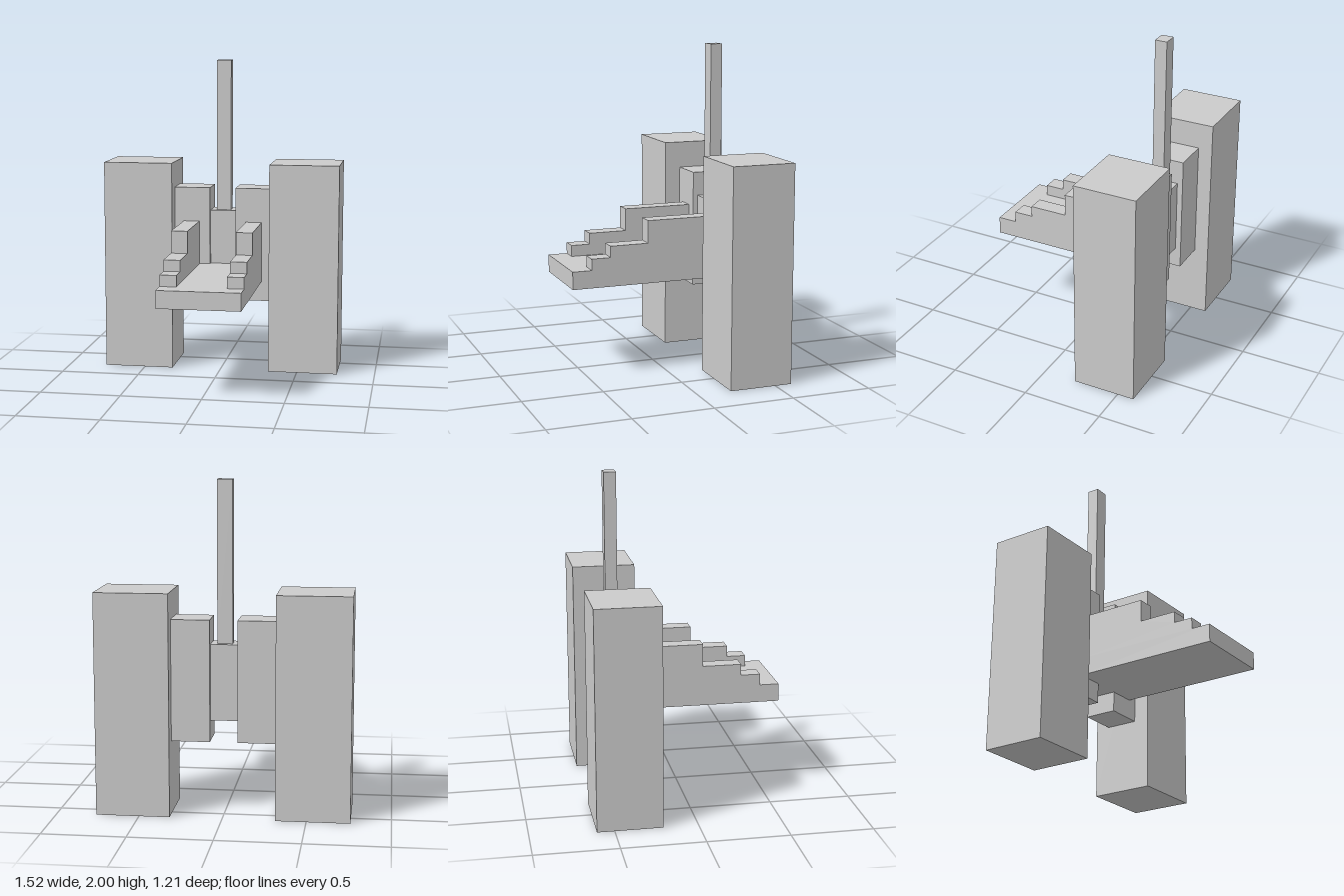
import * as THREE from 'three';

const material = new THREE.MeshStandardMaterial({ color: 0xcccccc, flatShading: true });

// Box given by its extents along each axis
function block(name, [x0, x1], [y0, y1], [z0, z1]) {
  const mesh = new THREE.Mesh(new THREE.BoxGeometry(x1 - x0, y1 - y0, z1 - z0), material);
  mesh.position.set((x0 + x1) / 2, (y0 + y1) / 2, (z0 + z1) / 2);
  mesh.name = name;
  return mesh;
}

// Stepped side rail: profile in z and y, extruded across x
function steppedRail(name, x0, x1) {
  const profile = [
    [-0.31, 0.68], [0.485, 0.68], [0.485, 0.75], [0.365, 0.75],
    [0.365, 0.82], [0.125, 0.82], [0.125, 0.96], [-0.31, 0.96],
  ];
  const shape = new THREE.Shape(profile.map(([z, y]) => new THREE.Vector2(z, y)));
  const geometry = new THREE.ExtrudeGeometry(shape, { depth: x1 - x0, bevelEnabled: false });
  geometry.rotateY(-Math.PI / 2);
  const mesh = new THREE.Mesh(geometry, material);
  mesh.position.x = x1;
  mesh.name = name;
  return mesh;
}

export function createModel() {
  const model = new THREE.Group();
  model.name = 'steppedTowerModel';

  // Centre line: core, mast and forward deck
  model.add(
    block('core', [-0.083, 0.083], [0.57, 1.03], [-0.48, -0.34]),
    block('mast', [-0.046, 0.046], [1.03, 2], [-0.445, -0.37]),
    block('deck', [-0.255, 0.255], [0.57, 0.68], [-0.34, 0.605]),
  );

  // Mirrored parts: outer tower, inner connector and rail
  for (const [side, s] of [['left', 1], ['right', -1]]) {
    const span = (a, b) => (s > 0 ? [a, b] : [-b, -a]);
    model.add(
      block(side + 'Tower', span(0.315, 0.76), [0, 1.345], [-0.605, -0.21]),
      block(side + 'Connector', span(0.083, 0.315), [0.445, 1.18], [-0.515, -0.31]),
      steppedRail(side + 'Rail', ...span(0.152, 0.255)),
    );
  }
  return model;
}
